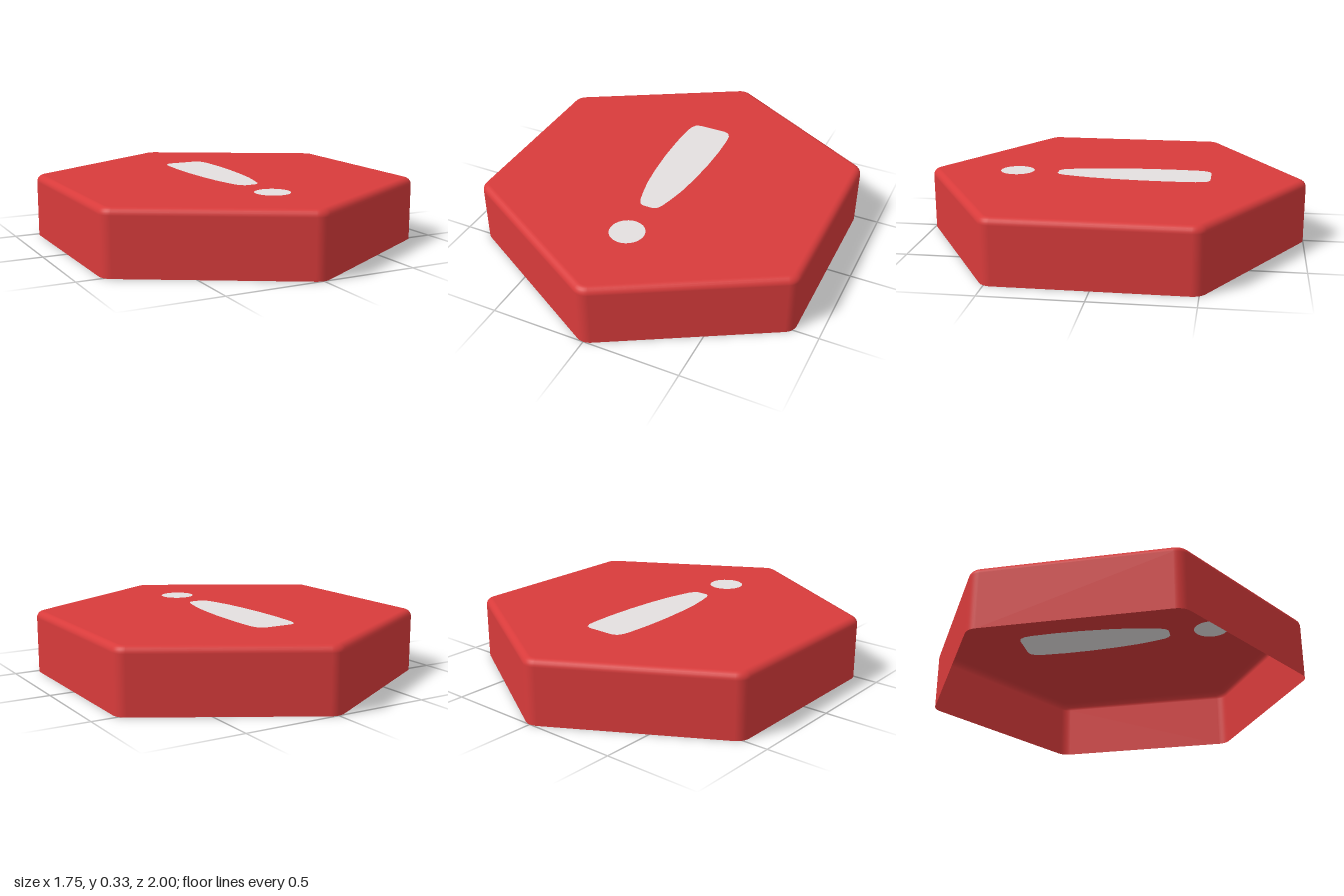
import * as THREE from 'three';

const HEIGHT = 0.33, APOTHEM = 0.876, CORNER = 0.075, BEVEL = 0.036;

// Rounded hexagon with points at +z and -z; each entry is a position and its outward angle
function hexOutline(inset, steps = 8) {
  const d = (APOTHEM - CORNER) * 2 / Math.sqrt(3), r = CORNER - inset, pts = [];
  for (let k = 0; k < 6; k++) {
    const mid = Math.PI / 6 + k * Math.PI / 3;
    for (let i = 0; i <= steps; i++) {
      const a = mid + (i / steps - 0.5) * Math.PI / 3;
      pts.push({ x: d * Math.cos(mid) + r * Math.cos(a), z: d * Math.sin(mid) + r * Math.sin(a), a });
    }
  }
  return pts;
}

// Open wall with a rounded upper edge, lofted from hexagon rings
function rimGeometry() {
  const rings = [{ y: 0, inset: 0, tilt: 0 }];
  for (let i = 0; i <= 6; i++) {
    const tilt = i / 6 * Math.PI / 2;
    rings.push({ y: HEIGHT - BEVEL * (1 - Math.sin(tilt)), inset: BEVEL * (1 - Math.cos(tilt)), tilt });
  }
  const pos = [], nor = [], idx = [];
  let n = 0;
  rings.forEach(({ y, inset, tilt }, j) => {
    const pts = hexOutline(inset);
    n = pts.length;
    pts.forEach((p, i) => {
      pos.push(p.x, y, p.z);
      nor.push(Math.cos(p.a) * Math.cos(tilt), Math.sin(tilt), Math.sin(p.a) * Math.cos(tilt));
      if (j === rings.length - 1) return;
      const a = j * n + i, c = j * n + (i + 1) % n;
      idx.push(a, a + n, c, a + n, c + n, c);
    });
  });
  const g = new THREE.BufferGeometry();
  g.setAttribute('position', new THREE.Float32BufferAttribute(pos, 3));
  g.setAttribute('normal', new THREE.Float32BufferAttribute(nor, 3));
  g.setIndex(idx);
  return g;
}

// Tapered bar outline: right half as [half width, z], mirrored to the left
function barPoints() {
  const half = [[0.075, -0.508], [0.1, -0.497], [0.115, -0.47], [0.121, -0.43], [0.126, -0.3], [0.123, -0.15],
    [0.112, 0], [0.097, 0.12], [0.08, 0.2], [0.062, 0.27], [0.048, 0.297], [0.028, 0.309]];
  return [...half.map(([x, z]) => new THREE.Vector2(x, -z)),
    ...half.slice().reverse().map(([x, z]) => new THREE.Vector2(-x, -z))];
}

function dotPoints() {
  return Array.from({ length: 32 }, (_, i) => {
    const a = i / 32 * Math.PI * 2;
    return new THREE.Vector2(0.09 * Math.cos(a), -0.533 + 0.091 * Math.sin(a));
  });
}

// Flat shape laid on the top plane
function flatTop(shape) {
  return new THREE.ShapeGeometry(shape).rotateX(-Math.PI / 2).translate(0, HEIGHT, 0);
}

export function createModel() {
  const red = new THREE.MeshStandardMaterial({ color: 0xd83b3b, side: THREE.DoubleSide });
  red.name = 'red';
  const paleGrey = new THREE.MeshStandardMaterial({ color: 0xe4e0e0, side: THREE.DoubleSide });
  paleGrey.name = 'pale grey';

  const group = new THREE.Group();
  group.name = 'warningTile';
  const add = (name, geometry, material) => {
    const mesh = new THREE.Mesh(geometry, material);
    mesh.name = name;
    group.add(mesh);
  };

  add('rim', rimGeometry(), red);

  // Top plate with cut-outs that the mark fills flush, so it shows from below too
  const plate = new THREE.Shape(hexOutline(BEVEL).map(p => new THREE.Vector2(p.x, -p.z)));
  const marks = { markBar: barPoints(), markDot: dotPoints() };
  for (const pts of Object.values(marks)) plate.holes.push(new THREE.Path(pts));
  add('topPlate', flatTop(plate), red);
  for (const [name, pts] of Object.entries(marks)) add(name, flatTop(new THREE.Shape(pts)), paleGrey);

  return group;
}
